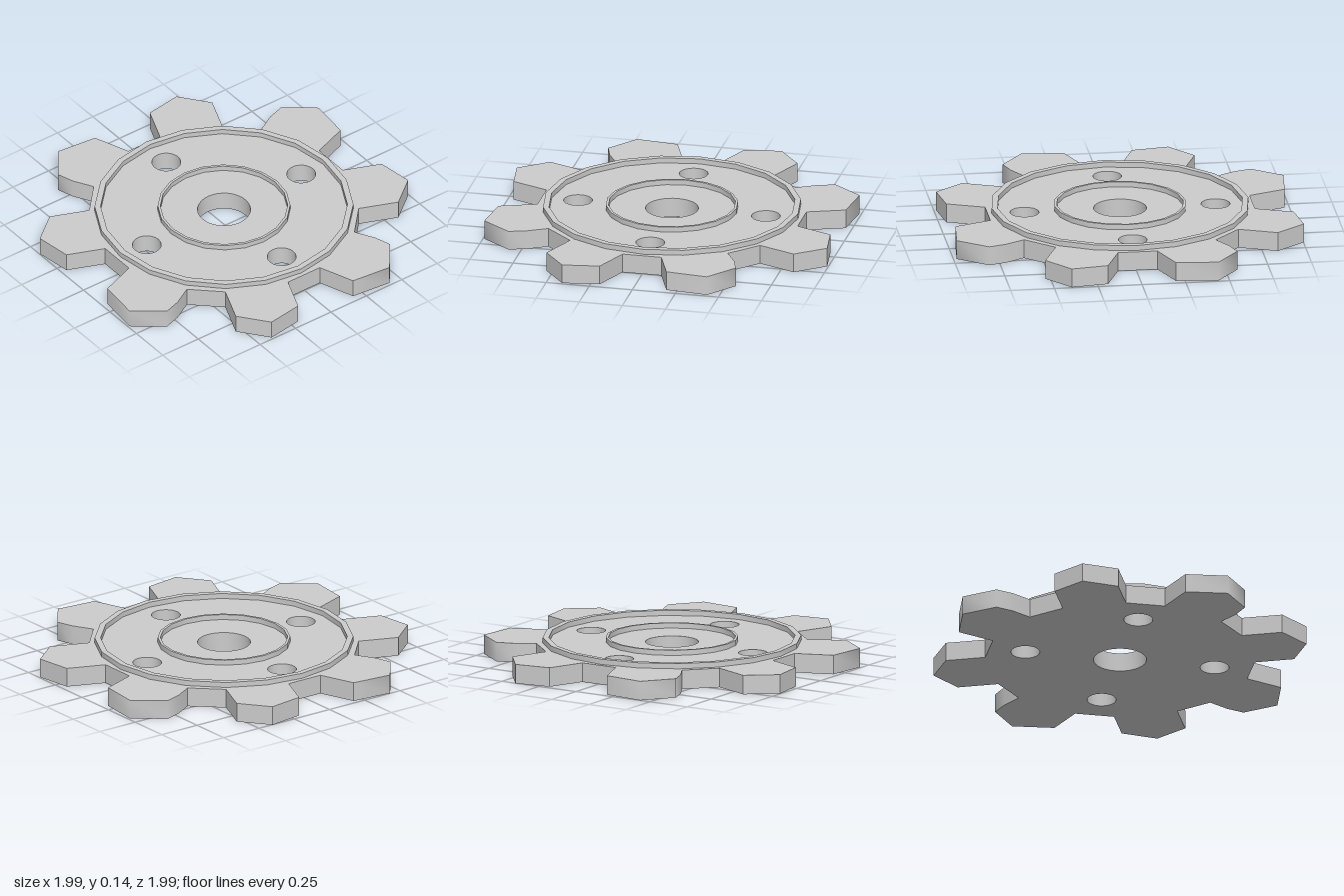
import * as THREE from 'three';
import { toCreasedNormals } from 'three/addons/utils/BufferGeometryUtils.js';

const PLATE_TOP = 0.11;
const RIM_TOP = 0.14;

// Circle sampled as a polygon, first corner on the +x axis
function circlePoints(radius, sides, cx = 0, cy = 0) {
  return Array.from({ length: sides }, (_, i) => {
    const a = (i / sides) * Math.PI * 2;
    return new THREE.Vector2(cx + radius * Math.cos(a), cy + radius * Math.sin(a));
  });
}

// Flat outline raised upwards from y = bottom to y = top
function plate(name, points, holes, bottom, top, material) {
  const shape = new THREE.Shape(points);
  for (const hole of holes) shape.holes.push(new THREE.Path(hole));
  const extruded = new THREE.ExtrudeGeometry(shape, {
    depth: top - bottom, bevelEnabled: false, steps: 1,
  });
  extruded.rotateX(-Math.PI / 2);
  extruded.translate(0, bottom, 0);
  const mesh = new THREE.Mesh(toCreasedNormals(extruded, 1.03), material);
  mesh.name = name;
  return mesh;
}

export function createModel() {
  const group = new THREE.Group();
  group.name = 'sprocket';
  const material = new THREE.MeshStandardMaterial({ color: 0xcccccc });

  // A quarter of the toothed outline: a pair of teeth with the gap between them
  const quarter = [
    [-0.465, 0.61], [-0.528, 0.72], [-0.56, 0.82], [-0.43, 0.99],
    [-0.19, 0.965], [-0.112, 0.755], [0.112, 0.755], [0.197, 0.965],
    [0.408, 0.995], [0.537, 0.83], [0.45, 0.615],
  ];
  const outline = [];
  for (let q = 0; q < 4; q++) {
    for (const [x, y] of quarter) {
      const p = new THREE.Vector2(x, y);
      outline.push(p.rotateAround(new THREE.Vector2(), -q * Math.PI / 2));
    }
  }

  // Axle hole and four bolt holes
  const holes = [circlePoints(0.15, 32)];
  for (let i = 0; i < 4; i++) {
    const a = i * Math.PI / 2;
    holes.push(circlePoints(0.082, 24, 0.545 * Math.cos(a), 0.545 * Math.sin(a)));
  }
  group.add(plate('toothedPlate', outline, holes, 0, PLATE_TOP, material));

  // Raised rims on the upper face
  for (const [name, outer, inner] of [['outerRim', 0.732, 0.698], ['innerRim', 0.375, 0.36]]) {
    group.add(plate(name, circlePoints(outer, 20), [circlePoints(inner, 20)],
      PLATE_TOP, RIM_TOP, material));
  }

  group.position.set(-0.008, 0, 0.002);
  return group;
}
